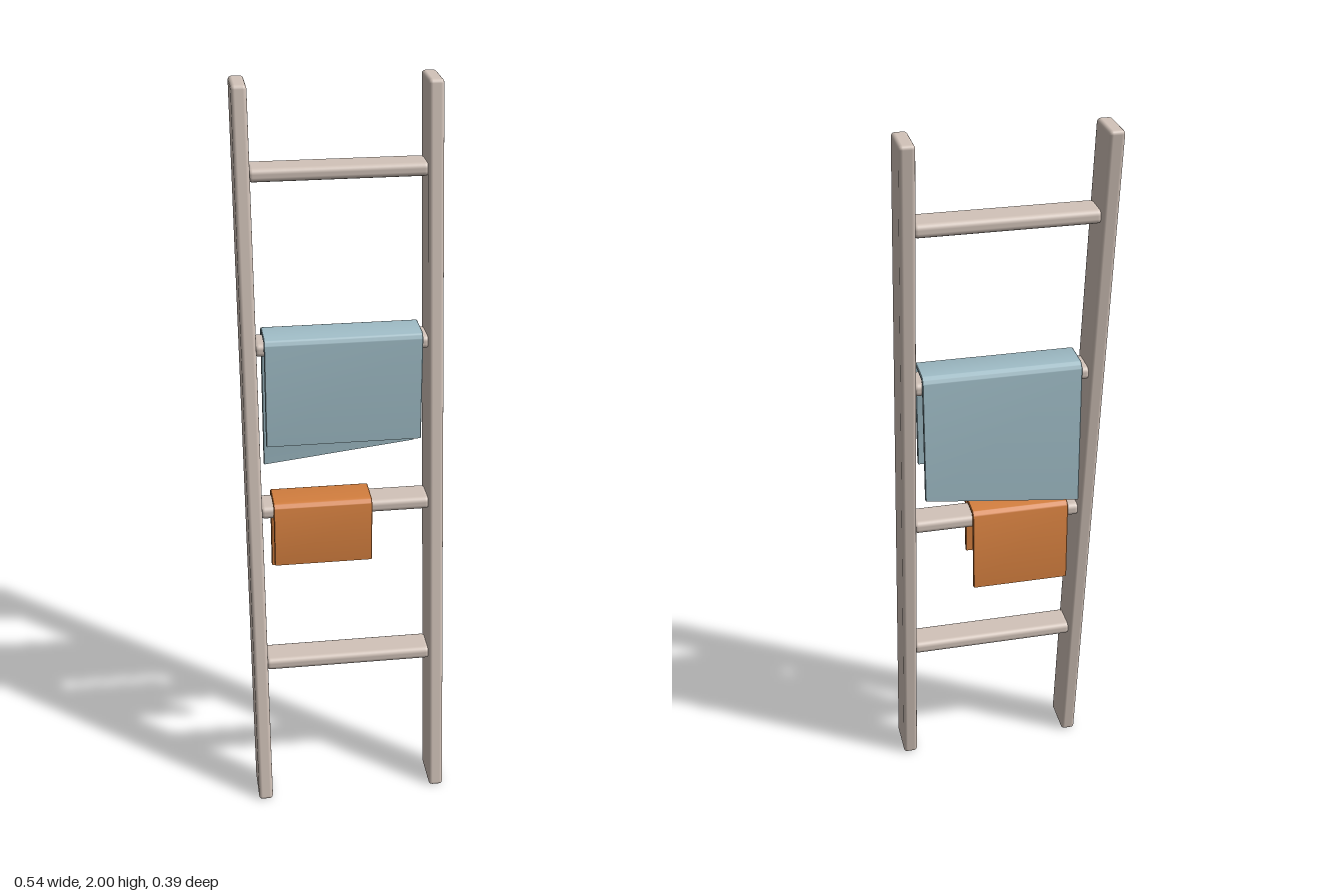
import * as THREE from 'three';
import { toCreasedNormals } from 'three/addons/utils/BufferGeometryUtils.js';
import { RoundedBoxGeometry } from 'three/addons/geometries/RoundedBoxGeometry.js';

const LEAN = 0.135; // backward shift per unit of height
const railZ = (y) => LEAN * (1 - y);

function material(name, color) {
  const m = new THREE.MeshStandardMaterial({ color });
  m.name = name;
  return m;
}

// Cloth folded over a rung: an upside-down U swept along x
function clothGeometry({ x0, x1, top, zFront, zBack, frontBottom, backBottom, lift }) {
  const t = 0.01, r = 0.02, ri = r - t, bevel = 0.002;
  const s = new THREE.Shape();
  s.moveTo(zFront, frontBottom);
  s.lineTo(zFront, top - r);
  s.absarc(zFront - r, top - r, r, 0, Math.PI / 2, false);
  s.lineTo(zBack + r, top);
  s.absarc(zBack + r, top - r, r, Math.PI / 2, Math.PI, false);
  s.lineTo(zBack, backBottom);
  s.lineTo(zBack + t, backBottom);
  s.lineTo(zBack + t, top - r);
  s.absarc(zBack + r, top - r, ri, Math.PI, Math.PI / 2, true);
  s.lineTo(zFront - r, top - t);
  s.absarc(zFront - r, top - r, ri, Math.PI / 2, 0, true);
  s.lineTo(zFront - t, frontBottom);
  s.closePath();
  const g = new THREE.ExtrudeGeometry(s, {
    depth: x1 - x0 - 2 * bevel, curveSegments: 6,
    bevelEnabled: true, bevelThickness: bevel, bevelSize: bevel, bevelOffset: -bevel, bevelSegments: 1,
  });
  g.rotateY(-Math.PI / 2);
  g.translate(x1 - bevel, 0, 0);
  // Slant the lower hem of the back flap
  const p = g.attributes.position;
  for (let i = 0; i < p.count; i++) {
    if (p.getY(i) < backBottom + 0.02) {
      p.setY(i, p.getY(i) + lift * (p.getX(i) - x0) / (x1 - x0));
    }
  }
  return toCreasedNormals(g, 0.6);
}

export function createModel() {
  const group = new THREE.Group();
  group.name = 'leaningLadder';
  const wood = material('paleWood', 0xd2c3b9);
  const blue = material('blueCloth', 0x9fbcc6);
  const orange = material('orangeCloth', 0xd47f3f);

  const add = (name, geometry, mat) => {
    const mesh = new THREE.Mesh(geometry, mat);
    mesh.name = name;
    group.add(mesh);
    return mesh;
  };

  // Side rails, sheared so that both ends stay level
  const shear = new THREE.Matrix4().set(
    1, 0, 0, 0,
    0, 1, 0, 1,
    0, -LEAN, 1, 0,
    0, 0, 0, 1,
  );
  const railGeometry = new RoundedBoxGeometry(0.04, 2, 0.118, 2, 0.01).applyMatrix4(shear);
  for (const [name, side] of [['leftRail', 1], ['rightRail', -1]]) {
    add(name, railGeometry, wood).position.x = side * 0.249;
  }

  // Four evenly spaced flat rungs
  const rungGeometry = new RoundedBoxGeometry(0.47, 0.036, 0.088, 3, 0.014);
  for (let i = 0; i < 4; i++) {
    const y = 0.415 + i * 0.4525;
    add('rung' + (i + 1), rungGeometry, wood).position.set(0, y, railZ(y));
  }

  // Large blanket with a slanted back hem
  add('blanket', clothGeometry({
    x0: -0.21, x1: 0.212, top: 1.357, zFront: 0.02, zBack: -0.095,
    frontBottom: 1.05, backBottom: 0.945, lift: 0.05,
  }), blue);

  // Small towel on the rung below
  add('towel', clothGeometry({
    x0: -0.199, x1: 0.071, top: 0.901, zFront: 0.08, zBack: -0.034,
    frontBottom: 0.715, backBottom: 0.656, lift: 0,
  }), orange);

  return group;
}
